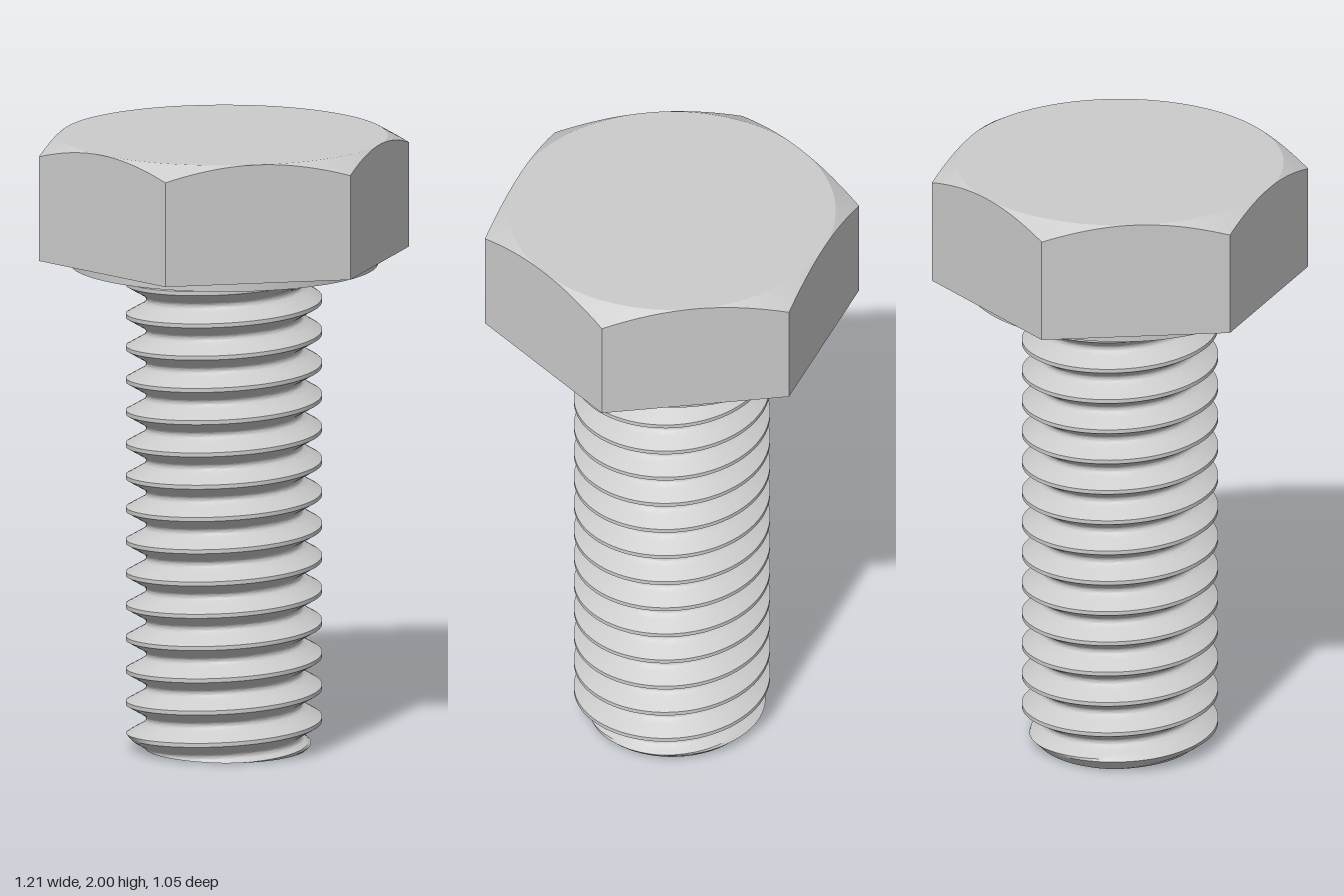
import * as THREE from 'three';
import { toCreasedNormals } from 'three/addons/utils/BufferGeometryUtils.js';

const material = new THREE.MeshStandardMaterial({ color: 0xcccccc });

const SHANK_TOP = 1.582, PITCH = 0.1053, MAJOR = 0.315, CREST_Y = 0.1;
const HEAD_BOTTOM = 1.613, APOTHEM = 0.525;

// Closed skin from stacked rings; point(angle, ring) gives [radius, y], angle runs anticlockwise from above
function skin(segments, rings, point, crease) {
  const p = [], index = [];
  for (let j = 0; j < rings; j++) {
    for (let i = 0; i <= segments; i++) {
      const a = ((i % segments) / segments) * Math.PI * 2;
      const [r, y] = point((i / segments) * Math.PI * 2, j);
      p.push(r * Math.cos(a), y, -r * Math.sin(a));
    }
  }
  const v = (k) => new THREE.Vector3().fromArray(p, k * 3);
  const area = (a, b, c) => v(b).sub(v(a)).cross(v(c).sub(v(a))).length();
  const face = (a, b, c) => { if (area(a, b, c) > 1e-9) index.push(a, b, c); };
  const n = segments + 1;
  for (let j = 0; j < rings - 1; j++) {
    for (let i = 0; i < segments; i++) {
      const a = j * n + i, b = a + 1, c = b + n, d = a + n;
      face(a, b, c);
      face(a, c, d);
    }
  }
  const g = new THREE.BufferGeometry();
  g.setAttribute('position', new THREE.Float32BufferAttribute(p, 3));
  g.setIndex(index);
  return toCreasedNormals(g, crease);
}

function addMesh(group, name, geometry) {
  const mesh = new THREE.Mesh(geometry, material);
  mesh.name = name;
  group.add(mesh);
  return mesh;
}

// Radius of the 60 degree thread with flat crests and rounded roots, d = pitches from the crest (0 to 0.5)
function threadRadius(d) {
  if (d < 0.0625) return MAJOR;
  if (d < 0.375) return MAJOR - Math.sqrt(3) * PITCH * (d - 0.0625);
  return MAJOR - PITCH * (0.4691 + Math.sqrt(Math.max(0, 0.1443 ** 2 - (0.5 - d) ** 2)));
}

function shankRadius(angle, y) {
  const t = (y - CREST_Y) / PITCH - angle / (Math.PI * 2);
  let r = threadRadius(Math.abs(t - Math.round(t)));
  // chamfered tip
  r = Math.min(r, 0.265 + y);
  // fillet under the head
  const f = 0.06, h = y - (SHANK_TOP - f);
  if (h > 0) r = Math.max(r, 0.275 + f - Math.sqrt(Math.max(0, f * f - h * h)));
  return r;
}

function shankGeometry() {
  // rows of one thread turn, measured in pitches from the crest
  const half = [0.0625, 0.1406, 0.2188, 0.2969];
  for (let k = 4; k >= 1; k--) half.push(0.5 - 0.1443 * Math.sin((k * Math.PI) / 12));
  const turn = [...half.map((d) => -d).reverse(), ...half, 0.5];
  const rows = [];
  for (let k = -3; k <= 16; k++) turn.forEach((d) => rows.push(k + d));

  // first ring is the centre of the flat tip
  return skin(96, rows.length + 1, (angle, j) => {
    if (j === 0) return [0, 0];
    const helix = CREST_Y + PITCH * (rows[j - 1] + angle / (Math.PI * 2));
    const y = THREE.MathUtils.clamp(helix, 0, SHANK_TOP);
    return [shankRadius(angle, y), y];
  }, 0.5);
}

// Hexagon with its top corners cut by a 30 degree cone
function headGeometry() {
  return skin(144, 5, (angle, j) => {
    const side = Math.PI / 3;
    const hex = APOTHEM / Math.cos((angle % side) - side / 2);
    return [
      [0, HEAD_BOTTOM],
      [hex, HEAD_BOTTOM],
      [hex, 2 - (hex - APOTHEM) * Math.tan(Math.PI / 6)],
      [APOTHEM, 2],
      [0, 2],
    ][j];
  }, 0.3);
}

export function createModel() {
  const bolt = new THREE.Group();
  bolt.name = 'hexBolt';

  addMesh(bolt, 'head', headGeometry());

  // round bearing face below the head
  const height = HEAD_BOTTOM - SHANK_TOP;
  const washer = addMesh(bolt, 'washerFace', new THREE.CylinderGeometry(0.494, 0.494, height, 96));
  washer.position.y = SHANK_TOP + height / 2;

  addMesh(bolt, 'threadedShank', shankGeometry());
  return bolt;
}
